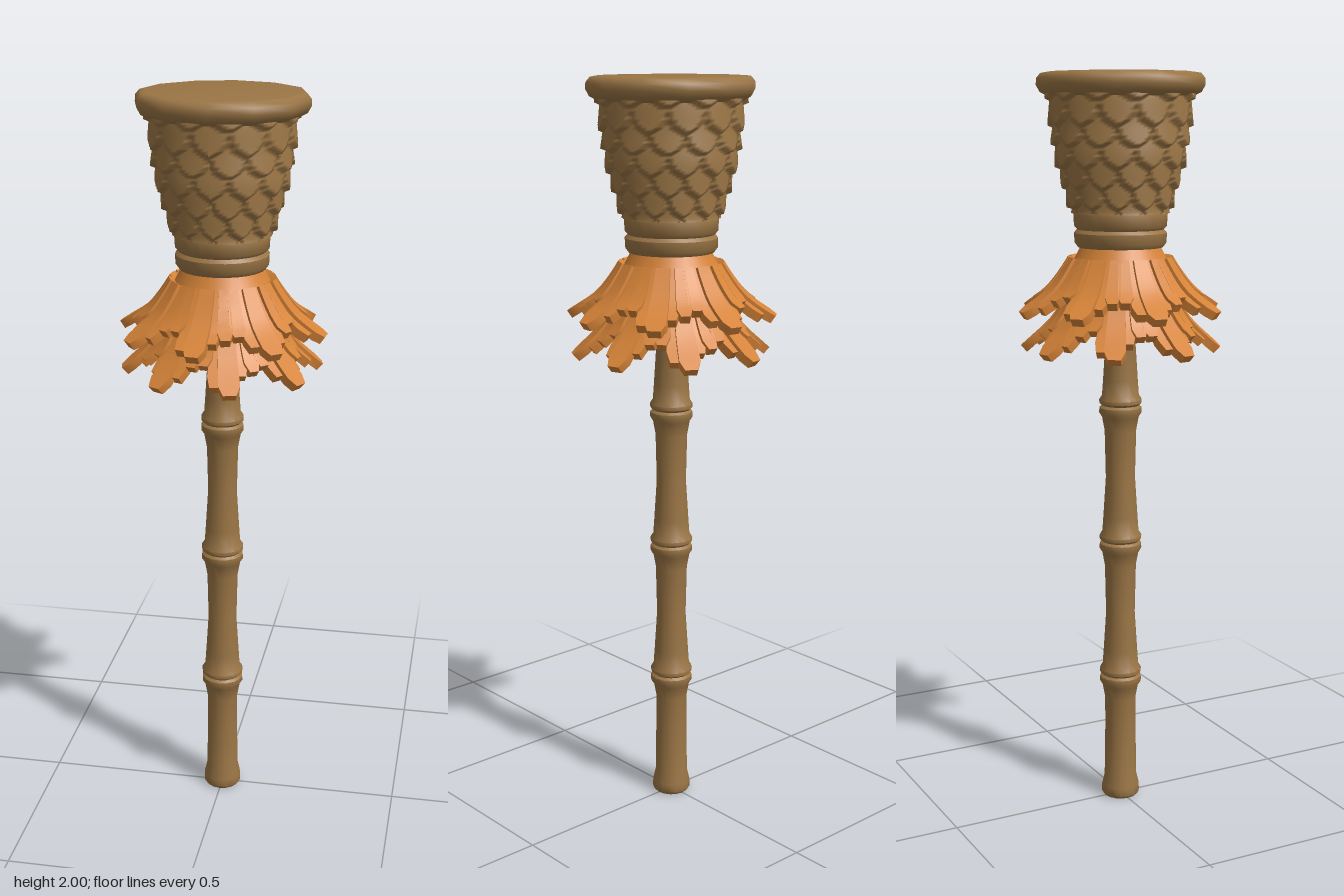
import * as THREE from 'three';
import { mergeGeometries, toCreasedNormals } from 'three/addons/utils/BufferGeometryUtils.js';

const wood = new THREE.MeshStandardMaterial({ color: 0x9a7545 });
wood.name = 'bambooBrown';
const straw = new THREE.MeshStandardMaterial({ color: 0xd58338, side: THREE.DoubleSide });
straw.name = 'strawOrange';

const V2 = (p) => new THREE.Vector2(p[0], p[1]);

// Turned part from [radius, y] pairs listed bottom to top
function turned(name, pairs, sides, crease = 0.75) {
  const g = toCreasedNormals(new THREE.LatheGeometry(pairs.map(V2), sides), crease);
  const m = new THREE.Mesh(g, wood);
  m.name = name;
  return m;
}

// Bamboo pole with double-ridged joints
function pole() {
  const pts = [[0, 0], [0.047, 0], [0.053, 0.008], [0.052, 0.03], [0.045, 0.06], [0.043, 0.2]];
  for (const y of [0.36, 0.745, 1.125]) {
    pts.push([0.043, y - 0.07], [0.05, y - 0.032], [0.058, y - 0.02], [0.057, y - 0.006], [0.05, y],
      [0.057, y + 0.006], [0.058, y + 0.016], [0.05, y + 0.028], [0.047, y + 0.07], [0.04, y + 0.18]);
  }
  pts.push([0.046, 1.34], [0.046, 1.57]);
  return turned('pole', pts, 16);
}

// Woven basket: staggered overlapping scales pushed out of a flared wall
function basket() {
  const prof = new THREE.SplineCurve([[0.116, 1.64], [0.136, 1.71], [0.158, 1.79], [0.169, 1.87], [0.18, 1.955]].map(V2));
  const rows = 6, cols = 12;
  const scaleHeight = (a, v) => {
    let h = 0;
    for (let r = Math.floor(v) - 1; r <= Math.floor(v); r++) {
      const s = a / (2 * Math.PI) * cols + (r & 1) * 0.5;
      const du = (s - Math.round(s)) * 2, dv = v - r;
      const edge = 1.6 - 0.75 * du * du;
      if (dv < edge) h = Math.max(h, dv / edge * (1 - 0.45 * du * du));
    }
    return h * 0.023;
  };
  const g = new THREE.CylinderGeometry(1, 1, 1, 120, 60, true);
  const p = g.attributes.position, uv = g.attributes.uv;
  for (let i = 0; i < p.count; i++) {
    const a = uv.getX(i) * 2 * Math.PI, t = uv.getY(i);
    const q = prof.getPoint(t);
    const r = q.x + scaleHeight(a, (1 - t) * rows);
    p.setXYZ(i, Math.sin(a) * r, q.y, Math.cos(a) * r);
  }
  g.computeVertexNormals();
  const m = new THREE.Mesh(g, wood);
  m.name = 'wovenBasket';
  return m;
}

// One straw finger: a box bent along the skirt profile
function finger(path, angle, length, width, lift) {
  const start = 0.25;
  const g = new THREE.BoxGeometry(1, 1, 1, 1, 7, 1);
  const p = g.attributes.position;
  for (let i = 0; i < p.count; i++) {
    const s = 0.5 - p.getY(i);
    const t = start + (length - start) * s;
    const c = path.getPoint(t), d = path.getTangent(t);
    const taper = s > 0.99 ? 0.6 : 0.65 + 0.4 * s;
    const out = p.getZ(i) * 0.024 + lift;
    const r = c.x - d.y * out, y = c.y + d.x * out;
    const w = p.getX(i) * width * taper;
    p.setXYZ(i, Math.sin(angle) * r + Math.cos(angle) * w, y, Math.cos(angle) * r - Math.sin(angle) * w);
  }
  return g;
}

// One skirt layer: flared cone with eight fringed leaves
function skirtLayer(name, pairs, turn) {
  const path = new THREE.SplineCurve(pairs.map(V2));
  const parts = [];
  const cone = [];
  for (let i = 10; i >= 0; i--) cone.push(path.getPoint(i * 0.064));
  parts.push(new THREE.LatheGeometry(cone, 32));
  const lengths = [0.74, 0.87, 1, 0.83, 0.78];
  for (let k = 0; k < 8; k++) {
    for (let j = 0; j < 5; j++) {
      const a = turn + k * Math.PI / 4 + (j - 2) * 0.157;
      const wobble = 0.025 * Math.sin(k * 2.3 + j * 1.7);
      const len = lengths[j] + (j === 2 ? 0 : wobble);
      parts.push(finger(path, a, len, j === 2 ? 0.056 : 0.04, j % 2 ? -0.003 : 0.005));
    }
  }
  const g = toCreasedNormals(mergeGeometries(parts.map((q) => q.toNonIndexed())), 0.7);
  const m = new THREE.Mesh(g, straw);
  m.name = name;
  return m;
}

export function createModel() {
  const torch = new THREE.Group();
  torch.name = 'torch';
  torch.add(pole(), basket());

  // Straw skirt in two layers
  torch.add(skirtLayer('upperSkirt', [[0.1, 1.565], [0.135, 1.5], [0.19, 1.43], [0.27, 1.375]], -0.1));
  torch.add(skirtLayer('lowerSkirt', [[0.085, 1.5], [0.125, 1.43], [0.175, 1.35], [0.255, 1.275]], 0.25));

  // Binding rings between skirt and basket
  torch.add(turned('binding', [[0.04, 1.55], [0.113, 1.55], [0.122, 1.562], [0.123, 1.588], [0.115, 1.597],
    [0.123, 1.606], [0.125, 1.64], [0.119, 1.655], [0.1, 1.66]], 24));

  // Twelve-sided rim with closed top
  const rim = turned('rim', [[0.16, 1.935], [0.196, 1.94], [0.215, 1.95], [0.225, 1.968], [0.224, 1.985],
    [0.213, 1.998], [0.2, 2], [0, 2]], 12, 0.8);
  rim.scale.z = 0.975;
  torch.add(rim);
  return torch;
}
